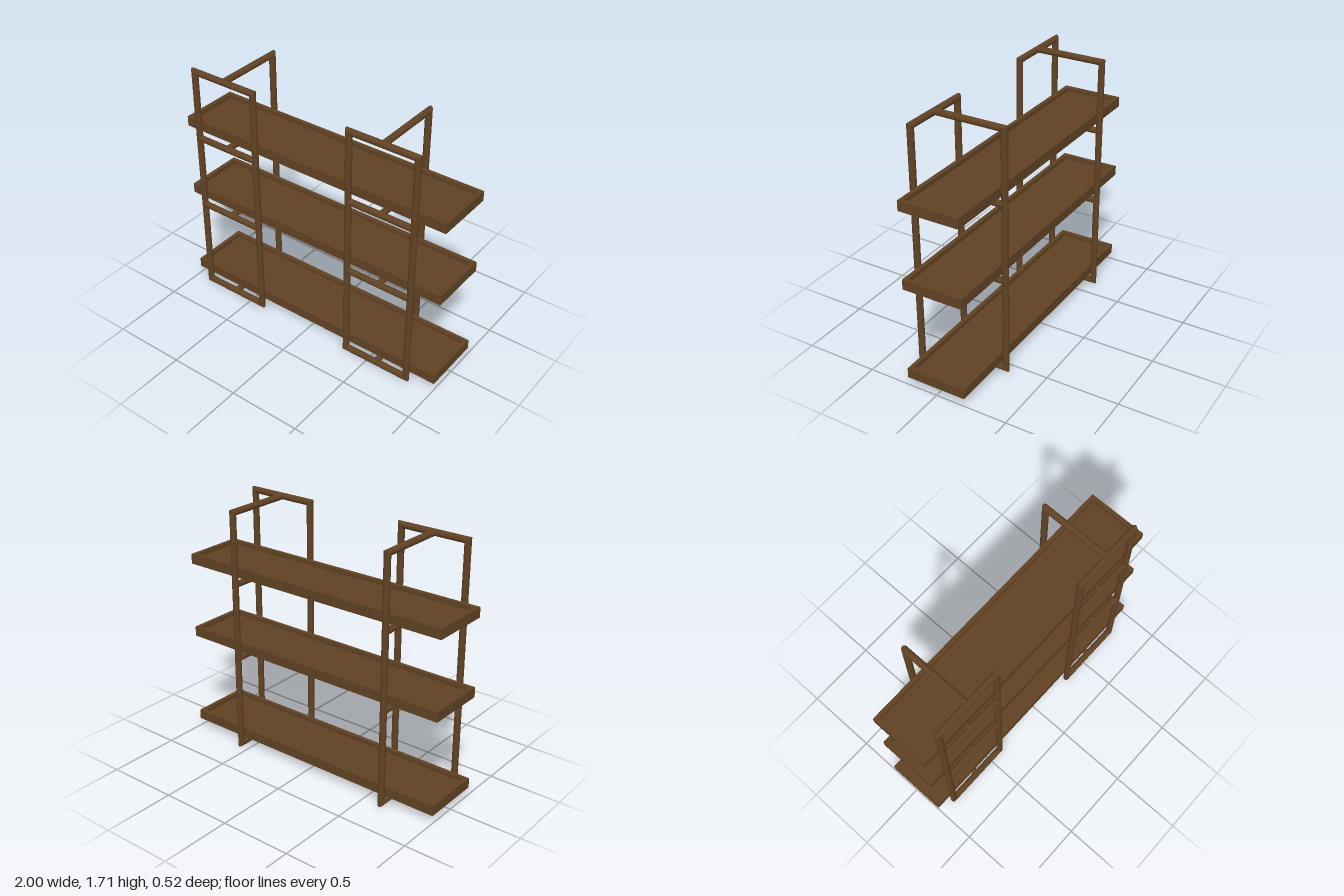
import * as THREE from 'three';

const R = 0.022;                       // tube radius
const LOW = 0.023, HIGH = 1.692;       // frame centre lines
const FRONT = 0.239, BACK = -0.239;
const HALF = 0.238;                    // half width of a front frame

const wood = new THREE.MeshStandardMaterial({ color: 0x604223 });
wood.name = 'darkWood';

// Round bar from a to b; ends flagged in mitre are cut at 45 degrees, longer on the 'out' side
function bar(name, a, b, out = [0, 0, 0], mitre = [false, false]) {
  const start = new THREE.Vector3(...a);
  const axis = new THREE.Vector3(...b).sub(start);
  const length = axis.length();
  axis.normalize();
  const outer = new THREE.Vector3(...out);
  const geo = new THREE.CylinderGeometry(R, R, length, 20, 1, true);
  geo.applyQuaternion(new THREE.Quaternion().setFromUnitVectors(new THREE.Vector3(0, 1, 0), axis));
  const pos = geo.attributes.position;
  const v = new THREE.Vector3();
  for (let i = 0; i < pos.count; i++) {
    v.fromBufferAttribute(pos, i);
    const end = v.dot(axis) > 0 ? 1 : 0;
    if (mitre[end]) v.addScaledVector(axis, (end ? 1 : -1) * v.dot(outer));
    pos.setXYZ(i, v.x, v.y, v.z);
  }
  const mesh = new THREE.Mesh(geo, wood);
  mesh.name = name;
  mesh.position.copy(start).addScaledVector(axis, length / 2);
  return mesh;
}

// Rectangular front frame with a single rear post joined by cross bars
function supportFrame(name, x) {
  const g = new THREE.Group();
  g.name = name;
  const both = [true, true];
  for (const s of [-1, 1]) {
    g.add(bar('frontPost', [s * HALF, LOW, FRONT], [s * HALF, HIGH, FRONT], [s, 0, 0], both));
  }
  for (const [y, s] of [[LOW, -1], [HIGH, 1]]) {
    g.add(bar('frontRail', [-HALF, y, FRONT], [HALF, y, FRONT], [0, s, 0], both));
    g.add(bar('sideRail', [0, y, FRONT], [0, y, BACK], [0, s, 0], [false, true]));
  }
  g.add(bar('rearPost', [0, LOW, BACK], [0, HIGH, BACK], [0, 0, -1], both));
  // Bars that carry the two upper shelves
  for (const y of [0.676, 1.204]) {
    g.add(bar('shelfFrontBar', [-HALF, y, FRONT], [HALF, y, FRONT]));
    g.add(bar('shelfSideBar', [0, y, FRONT], [0, y, BACK]));
  }
  g.position.x = x;
  return g;
}

// Shallow tray shelf: raised rim around a recessed floor
function shelf(name, y) {
  const w = 1, d = 0.209, rim = 0.028, height = 0.069, floorHeight = 0.039;
  const g = new THREE.Group();
  g.name = name;
  const rect = (Type, a, b) => new Type([[-a, -b], [a, -b], [a, b], [-a, b]]
    .map(p => new THREE.Vector2(...p)));
  const outline = rect(THREE.Shape, w, d);
  outline.holes.push(rect(THREE.Path, w - rim, d - rim));
  const rimGeo = new THREE.ExtrudeGeometry(outline, { depth: height, bevelEnabled: false });
  rimGeo.rotateX(-Math.PI / 2);
  const rimMesh = new THREE.Mesh(rimGeo, wood);
  rimMesh.name = 'shelfRim';
  const floor = new THREE.Mesh(
    new THREE.BoxGeometry(2 * (w - rim), floorHeight, 2 * (d - rim)), wood);
  floor.name = 'shelfFloor';
  floor.position.y = floorHeight / 2;
  g.add(rimMesh, floor);
  g.position.set(0, y, 0.004);
  return g;
}

export function createModel() {
  const model = new THREE.Group();
  model.name = 'shelvingUnit';
  model.add(supportFrame('rightFrame', -0.636), supportFrame('leftFrame', 0.567));
  model.add(shelf('lowerShelf', 0.056), shelf('middleShelf', 0.709), shelf('upperShelf', 1.242));
  return model;
}
